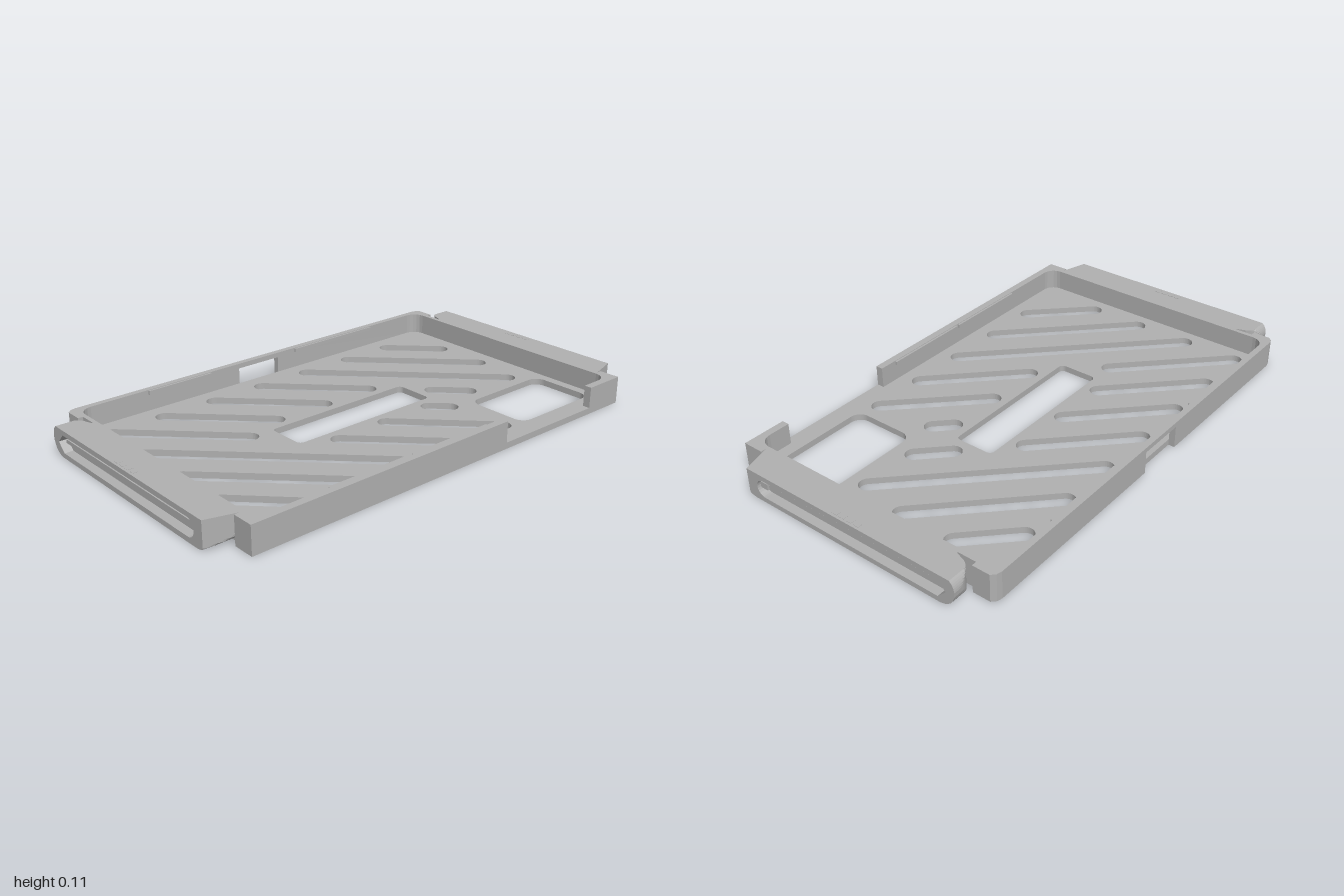
import * as THREE from 'three';

const grey = new THREE.MeshStandardMaterial({ color: 0xb0b0b0 });
grey.name = 'plain grey';

const H = 0.11, FLOOR = 0.025;
const pts = (list) => list.map(([x, y]) => new THREE.Vector2(x, y));

function add(group, name, geometry) {
  const mesh = new THREE.Mesh(geometry, grey);
  mesh.name = name;
  group.add(mesh);
  return mesh;
}

function box(group, name, x0, x1, y0, y1, z0, z1) {
  const g = new THREE.BoxGeometry(x1 - x0, y1 - y0, z1 - z0);
  g.translate((x0 + x1) / 2, (y0 + y1) / 2, (z0 + z1) / 2);
  return add(group, name, g);
}

// Extrude a plan drawn in (x, z) between two heights
function slab(shape, y0, y1) {
  const g = new THREE.ExtrudeGeometry(shape, { depth: y1 - y0, bevelEnabled: false, curveSegments: 8 });
  g.rotateX(Math.PI / 2);
  g.translate(0, y1, 0);
  return g;
}

// Diagonal slot with round ends
function slot(x0, z0, x1, z1, r = 0.035) {
  const a = Math.atan2(z1 - z0, x1 - x0);
  const p = new THREE.Path();
  p.absarc(x1, z1, r, a - Math.PI / 2, a + Math.PI / 2, false);
  p.absarc(x0, z0, r, a + Math.PI / 2, a + Math.PI * 1.5, false);
  p.closePath();
  return p;
}

function roundedRect(x0, x1, z0, z1, r) {
  const p = new THREE.Path();
  p.absarc(x1 - r, z1 - r, r, 0, Math.PI / 2, false);
  p.absarc(x0 + r, z1 - r, r, Math.PI / 2, Math.PI, false);
  p.absarc(x0 + r, z0 + r, r, Math.PI, Math.PI * 1.5, false);
  p.absarc(x1 - r, z0 + r, r, Math.PI * 1.5, Math.PI * 2, false);
  p.closePath();
  return p;
}

// Outer edge of one end of the tray, from the -x side to the +x side
const endEdge = (s) => [
  [-0.57, s * 0.87], [-0.565, s * 0.89], [-0.55, s * 0.905], [-0.48, s * 0.905],
  [-0.48, s * 0.885], [0.485, s * 0.885], [0.485, s * 0.905], [0.57, s * 0.905],
];

// Inner edge of one end, from the +x side back to the -x side
function innerEdge(s, r = 0.05) {
  const out = [];
  for (const [cx, a0] of [[0.54 - r, 0], [-0.545 + r, Math.PI / 2]]) {
    for (let i = 0; i <= 5; i++) {
      const a = a0 + (i / 5) * Math.PI / 2;
      out.push([cx + r * Math.cos(a), s * (0.868 - r + r * Math.sin(a))]);
    }
  }
  return out;
}

// Solid end cap with a recessed front; s = 1 for front, -1 for back
function endCap(s) {
  const group = new THREE.Group();
  group.name = s > 0 ? 'frontEndCap' : 'backEndCap';

  const profile = () => {
    const p = new THREE.Shape();
    p.moveTo(-0.43, 0);
    p.lineTo(0.42, 0);
    p.quadraticCurveTo(0.465, 0.005, 0.485, 0.04);
    p.lineTo(0.485, H);
    p.lineTo(-0.47, H);
    p.quadraticCurveTo(-0.488, 0.095, -0.49, 0.07);
    p.quadraticCurveTo(-0.488, 0.008, -0.43, 0);
    return p;
  };

  // Plan outline of the cap: rounded on one end, slanted on the other
  const leftLimit = (z) => -0.4 - 0.09 * Math.sqrt(1 - Math.min(1, Math.max(0, (0.975 - z) / 0.085)) ** 2);
  const rightLimit = (z) => 0.45 + (1 - z) * 0.3;

  const section = (name, shape, z0, z1, steps) => {
    const g = new THREE.ExtrudeGeometry(shape, { depth: z1 - z0, steps, bevelEnabled: false, curveSegments: 6 });
    const p = g.attributes.position;
    for (let i = 0; i < p.count; i++) {
      const z = p.getZ(i) + z0;
      p.setXYZ(i, Math.min(rightLimit(z), Math.max(leftLimit(z), p.getX(i))), p.getY(i), s * z);
    }
    if (s < 0) {
      // Keep faces outward after mirroring
      const a = new THREE.Vector3(), b = new THREE.Vector3();
      for (let i = 0; i < p.count; i += 3) {
        a.fromBufferAttribute(p, i + 1);
        b.fromBufferAttribute(p, i + 2);
        p.setXYZ(i + 1, b.x, b.y, b.z);
        p.setXYZ(i + 2, a.x, a.y, a.z);
      }
    }
    g.computeVertexNormals();
    add(group, name, g);
  };

  section('capBody', profile(), 0.88, 0.965, 8);
  const rim = profile();
  const recess = new THREE.Path();
  recess.moveTo(-0.455, 0.055);
  recess.lineTo(-0.42, 0.09);
  recess.lineTo(0.37, 0.09);
  recess.absarc(0.37, 0.055, 0.035, Math.PI / 2, -Math.PI / 2, true);
  recess.lineTo(-0.42, 0.02);
  recess.closePath();
  rim.holes.push(recess);
  section('capRim', rim, 0.965, 1, 2);

  // Rail and latch tab inside the recess
  const zBox = (name, x0, x1, y0, y1, a, b) =>
    box(group, name, x0, x1, y0, y1, Math.min(s * a, s * b), Math.max(s * a, s * b));
  zBox('recessRail', -0.44, 0.39, 0.047, 0.062, 0.96, 0.978);
  zBox('latchTab', 0.37, 0.405, 0.042, 0.067, 0.96, 0.985);

  // Row of four small square marks on top
  for (let i = 0; i < 4; i++) {
    const x = -0.067 + i * 0.033;
    zBox('squareMark', x - 0.011, x + 0.011, H - 0.002, H + 0.001, 0.968, 0.99);
  }
  return group;
}

export function createModel() {
  const model = new THREE.Group();
  model.name = 'slottedTray';

  // Floor with a notch on the -x side, diagonal slots and two windows
  const floor = new THREE.Shape(pts([
    ...endEdge(1), ...endEdge(-1).reverse(),
    [-0.57, -0.06], [-0.545, -0.06], [-0.545, 0.14], [-0.57, 0.14],
  ]));
  const slots = [
    [-0.455, -0.61, -0.29, -0.775], [-0.455, -0.38, -0.06, -0.775], [-0.455, -0.145, 0.14, -0.735],
    [-0.455, 0.09, -0.15, -0.215], [-0.455, 0.325, -0.15, 0.02], [-0.455, 0.56, -0.15, 0.255],
    [-0.455, 0.79, -0.09, 0.425], [-0.22, 0.79, 0.455, 0.115], [0.015, 0.79, 0.455, 0.35],
    [0.245, 0.79, 0.455, 0.585], [0.145, 0.19, 0.455, -0.12], [0.145, -0.045, 0.455, -0.35],
    [0.145, -0.275, 0.2, -0.33], [0.035, -0.405, 0.135, -0.505],
  ];
  floor.holes.push(...slots.map((c) => slot(...c)));
  floor.holes.push(roundedRect(-0.085, 0.08, -0.335, 0.325, 0.02));
  floor.holes.push(roundedRect(0.22, 0.49, -0.83, -0.43, 0.045));
  add(model, 'floor', slab(floor, 0, FLOOR));

  // Wall in two pieces, leaving a wide gap on +x and a small window on -x
  for (const [name, s, left, right] of [['frontWall', 1, 0.14, -0.245], ['backWall', -1, -0.06, -0.73]]) {
    const wall = new THREE.Shape(pts([
      [-0.57, left], ...endEdge(s), [0.57, right],
      [0.54, right], ...innerEdge(s), [-0.545, left],
    ]));
    add(model, name, slab(wall, FLOOR, H));
  }
  box(model, 'windowBar', -0.57, -0.545, 0.09, H, -0.06, 0.14);

  // Retaining lips along the inner top edges
  for (const [z0, z1] of [[-0.58, -0.15], [0.28, 0.57]])
    box(model, 'leftLip', -0.546, -0.536, 0.093, 0.108, z0, z1);
  for (const [z0, z1] of [[-0.17, 0.2], [0.21, 0.57]])
    box(model, 'rightLip', 0.531, 0.541, 0.093, 0.108, z0, z1);

  model.add(endCap(1), endCap(-1));
  return model;
}
